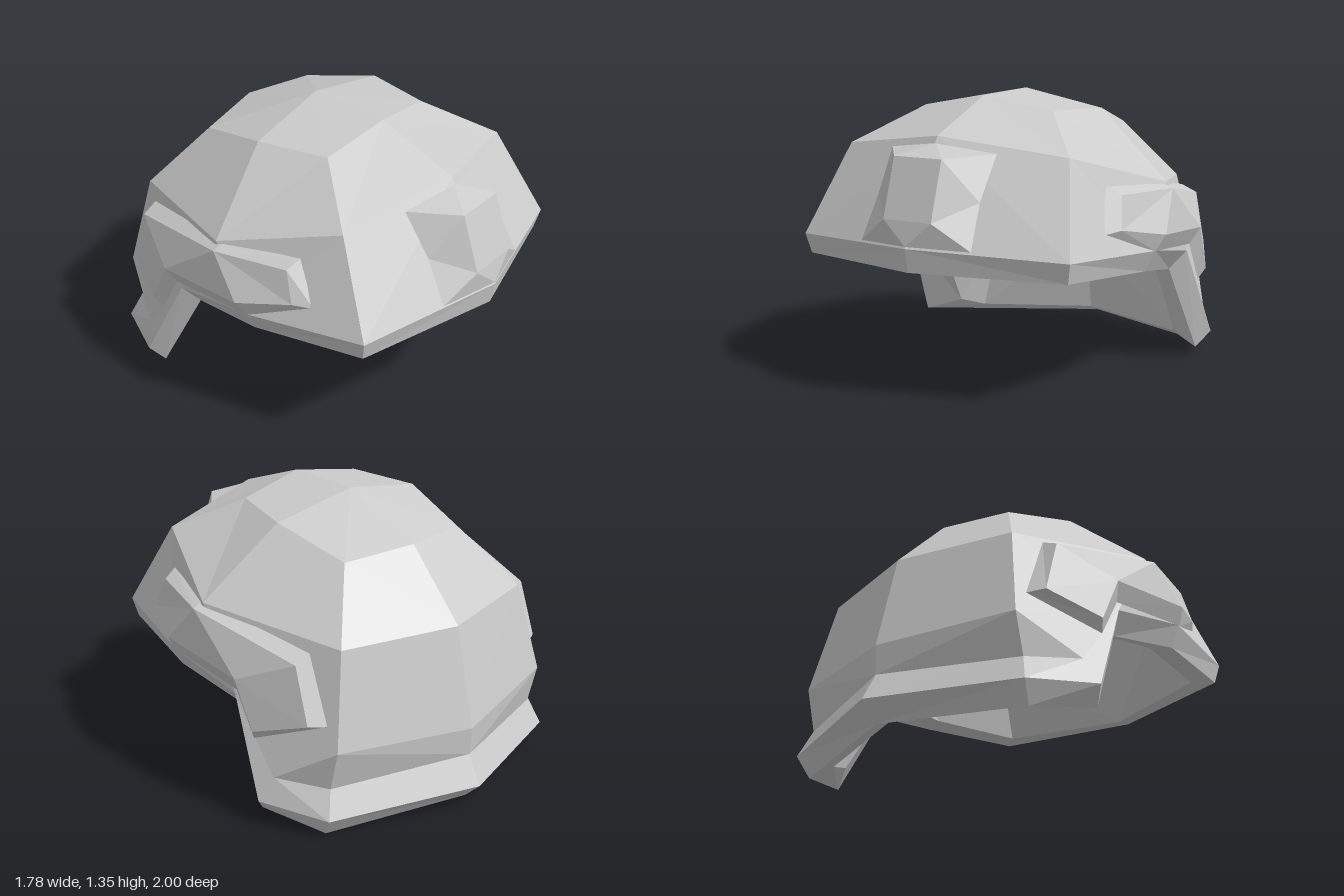
import * as THREE from 'three';

const material = new THREE.MeshStandardMaterial({ color: 0xcccccc, flatShading: true });

// Builds a flat-shaded mesh from polygons, given for the +x half and mirrored to -x.
// Corners run counter-clockwise seen from the visible side.
function mirroredMesh(name, polygons) {
  const out = [];
  for (const poly of polygons) {
    for (let i = 1; i < poly.length - 1; i++) {
      const tri = [poly[0], poly[i], poly[i + 1]];
      if (new Set(tri).size < 3) continue; // corner shared by two columns
      for (const p of tri) out.push(...p);
      for (const p of tri.reverse()) out.push(-p[0], p[1], p[2]);
    }
  }
  const geometry = new THREE.BufferGeometry();
  geometry.setAttribute('position', new THREE.Float32BufferAttribute(out, 3));
  geometry.computeVertexNormals();
  const mesh = new THREE.Mesh(geometry, material);
  mesh.name = name;
  return mesh;
}

// Joins consecutive rows of points (front to back) with quads.
function strips(rows) {
  const polys = [];
  for (let r = 0; r < rows.length - 1; r++) {
    const up = rows[r], low = rows[r + 1];
    for (let i = 0; i < up.length - 1; i++) polys.push([up[i], low[i], low[i + 1], up[i + 1]]);
  }
  return polys;
}

export function createModel() {
  const group = new THREE.Group();

  // Rings of the outer dome: front centre, front corner, side, rear corner, rear centre
  const apex = [0, 1.35, -0.08];
  const crown = [[0, 1.34, 0.33], [0.35, 1.28, 0.29], [0.43, 1.27, -0.06], [0.36, 1.17, -0.45], [0, 1.19, -0.52]];
  const brow = [[0, 1.19, 0.73], [0.59, 1.11, 0.58], [0.81, 0.95, 0.02], [0.57, 0.88, -0.67], [0, 0.88, -0.82]];
  // Neck points: rear corner, rear centre
  const napeHigh = [[0.66, 0.43, -0.75], [0, 0.4, -0.935]];
  const napeLow = [[0.66, 0.23, -0.7], [0, 0.26, -0.925]];
  const flapSide = [0.81, 0.25, -0.48];

  // Rim rings: front centre, front corner, side, notch, flap corner, rear corner, rear centre
  const rimTop = [[0, 0.72, 1.0], [0.71, 0.69, 0.8], [0.85, 0.66, 0.22], [0.82, 0.58, -0.22],
    [0.87, 0.13, -0.44], [0.71, 0.1, -0.75], [0, 0.12, -1]];
  const rimBottom = [[0, 0.61, 0.98], [0.69, 0.595, 0.78], [0.8, 0.56, 0.23], [0.75, 0.49, -0.17],
    [0.81, 0.05, -0.39], [0.68, 0, -0.69], [0, 0.03, -0.91]];
  const rimInner = [[0, 0.595, 0.89], [0.6, 0.595, 0.7], [0.7, 0.575, 0.2], [0.63, 0.54, -0.22],
    [0.65, 0.1, -0.49], [0.58, 0.05, -0.63], [0, 0.065, -0.83]];
  const [frontMid, frontCorner, side, notch, flapFront, flapRear, rearMid] = rimTop;

  // Outer shell
  const shell = strips([crown, brow]);
  for (let i = 0; i < crown.length - 1; i++) shell.push([apex, crown[i], crown[i + 1]]);
  shell.push(
    [brow[0], frontMid, frontCorner, brow[1]],
    [brow[1], frontCorner, side, brow[2]],
    [brow[2], side, notch],
    [brow[2], notch, brow[3]],
    [brow[3], notch, napeHigh[0]],
    [notch, flapSide, napeHigh[0]],
    [notch, flapFront, flapSide],
    [flapSide, napeLow[0], napeHigh[0]],
    [flapSide, flapFront, flapRear, napeLow[0]],
    [napeLow[0], flapRear, rearMid, napeLow[1]],
    [brow[3], napeHigh[0], napeHigh[1], brow[4]],
    [napeHigh[0], napeLow[0], napeLow[1], napeHigh[1]],
  );
  group.add(mirroredMesh('shell', shell));

  // Rim and its underside
  group.add(mirroredMesh('rim', strips([rimTop, rimBottom, rimInner])));

  // Hollow inside, a thick wall's depth below the shell
  const inFront = [0, 0.96, 0.7], inCorner = [0.52, 0.92, 0.52], inSide = [0.65, 0.82, 0];
  const inNotch = [0.63, 0.66, -0.22], inNape = [0.47, 0.48, -0.62], inRear = [0.46, 0.77, -0.56];
  const innerLow = [inFront, inCorner, inSide, inNotch, inNape, inNape, [0, 0.51, -0.76]];
  const innerBrow = [inFront, inCorner, inSide, inSide, inRear, inRear, [0, 0.79, -0.67]];
  const topSide = [0.35, 1.1, -0.06], topRear = [0.29, 1.02, -0.38];
  const innerTop = [[0, 1.16, 0.28], [0.28, 1.11, 0.24], topSide, topSide, topRear, topRear, [0, 1.04, -0.44]];
  const innerApex = [0, 1.17, -0.08];
  group.add(mirroredMesh('innerShell',
    strips([rimInner, innerLow, innerBrow, innerTop, innerTop.map(() => innerApex)])));

  // Raised block on the forehead
  const top = [0.28, 1.12, 0.68], bottom = [0.29, 0.72, 0.92], waist = [0.27, 0.92, 0.81];
  const faceTop = [0.125, 1.11, 0.89], faceBottom = [0.125, 0.84, 0.98];
  const midTop = [0, 1.11, 0.89], midBottom = [0, 0.84, 0.98];
  group.add(mirroredMesh('foreheadBlock', [
    [[0, 1.16, 0.74], midTop, faceTop, top],
    [midTop, midBottom, faceBottom, faceTop],
    [faceTop, faceBottom, waist, top],
    [faceBottom, bottom, waist],
    [[0, 0.73, 1.0], bottom, faceBottom, midBottom],
  ]));

  // Bent bevelled side panels
  const base = [[0.69, 0.97, 0.42], [0.79, 0.95, 0.05], [0.65, 0.85, -0.55], [0.66, 0.54, -0.68],
    [0.825, 0.41, -0.36], [0.825, 0.61, -0.24], [0.85, 0.66, 0.23], [0.73, 0.77, 0.53]];
  const face = [[0.76, 0.935, 0.4], [0.85, 0.925, 0.04], [0.73, 0.815, -0.55], [0.74, 0.55, -0.64],
    [0.855, 0.465, -0.39], [0.865, 0.69, -0.28], [0.89, 0.735, 0.2], [0.786, 0.785, 0.45]];
  const panel = [[7, 6, 1, 0], [6, 5, 1], [5, 2, 1], [5, 4, 3, 2]].map((q) => q.map((i) => face[i]));
  for (let i = 0; i < 8; i++) {
    const j = (i + 1) % 8;
    panel.push([base[i], face[i], face[j], base[j]]);
  }
  group.add(mirroredMesh('sidePanels', panel));

  return group;
}
